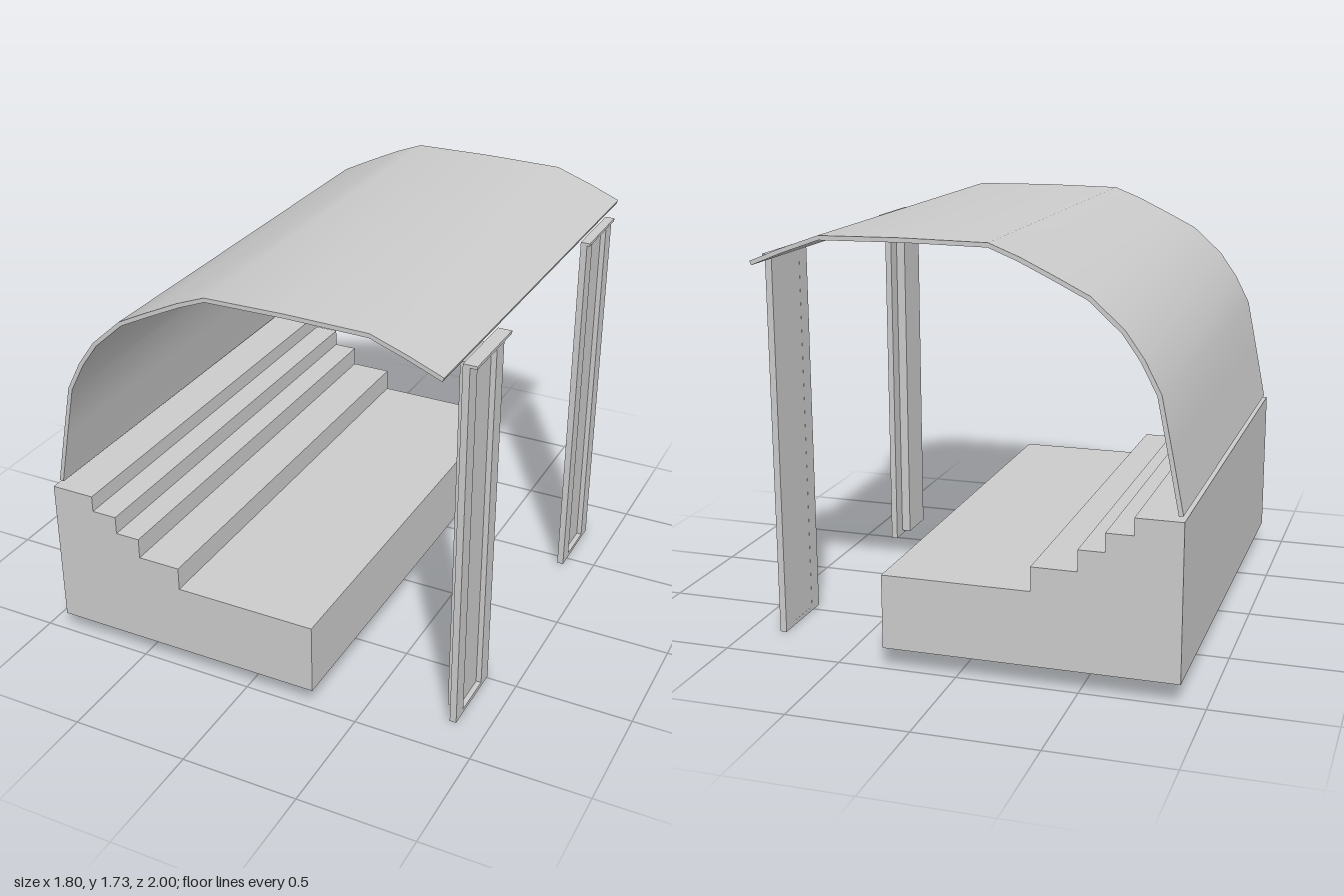
import * as THREE from 'three';
import { toCreasedNormals } from 'three/addons/utils/BufferGeometryUtils.js';

const grey = new THREE.MeshStandardMaterial({ color: 0xcccccc });

function addMesh(parent, name, geometry) {
  const mesh = new THREE.Mesh(geometry, grey);
  mesh.name = name;
  parent.add(mesh);
  return mesh;
}

// Box given by its minimum and maximum corners
function addBox(parent, name, [x0, y0, z0], [x1, y1, z1]) {
  const mesh = addMesh(parent, name, new THREE.BoxGeometry(x1 - x0, y1 - y0, z1 - z0));
  mesh.position.set((x0 + x1) / 2, (y0 + y1) / 2, (z0 + z1) / 2);
  return mesh;
}

// Outline in the x-y plane extruded from z0 to z1
function extrudeZ(points, z0, z1) {
  const shape = new THREE.Shape(points.map(([x, y]) => new THREE.Vector2(x, y)));
  return new THREE.ExtrudeGeometry(shape, { depth: z1 - z0, bevelEnabled: false }).translate(0, 0, z0);
}

// Rectangular frame facing +x, with an opening inset on every side
function frameGeometry(z0, z1, y1, x0, x1, sideInset, endInset) {
  const w = z1 - z0;
  const rect = (u0, v0, u1, v1) =>
    [[u0, v0], [u1, v0], [u1, v1], [u0, v1]].map(([u, v]) => new THREE.Vector2(u, v));
  const shape = new THREE.Shape(rect(0, 0, w, y1));
  shape.holes.push(new THREE.Path(rect(sideInset, endInset, w - sideInset, y1 - endInset)));
  return new THREE.ExtrudeGeometry(shape, { depth: x1 - x0, bevelEnabled: false })
    .rotateY(Math.PI / 2).translate(x0, 0, z1);
}

export function createModel() {
  const model = new THREE.Group();
  model.name = 'shelteredPlatform';

  // Stepped platform and its separate top step
  addMesh(model, 'steppedPlatform', extrudeZ([
    [-0.9, 0.087], [0.307, 0.087], [0.307, 0.395], [-0.307, 0.395], [-0.307, 0.495],
    [-0.493, 0.495], [-0.493, 0.583], [-0.6, 0.583], [-0.6, 0.66], [-0.9, 0.66],
  ], -1, 1));
  addBox(model, 'topStep', [-0.9, 0.66, -1], [-0.71, 0.73, 1]);

  // Curved roof: a line offset inward to a thin shell
  const outer = [
    [-0.891, 0.747], [-0.845, 0.98], [-0.8, 1.2], [-0.735, 1.325], [-0.66, 1.43], [-0.53, 1.547],
    [-0.4, 1.612], [-0.26, 1.679], [-0.14, 1.726], [0.2, 1.73], [0.54, 1.725], [0.7, 1.668], [0.83, 1.615],
  ].map(([x, y]) => new THREE.Vector2(x, y));
  const thickness = 0.018;
  const inner = outer.map((p, i) => {
    const along = outer[Math.min(i + 1, outer.length - 1)].clone().sub(outer[Math.max(i - 1, 0)]).normalize();
    return new THREE.Vector2(p.x + along.y * thickness, p.y - along.x * thickness);
  });
  const outline = [...outer, ...inner.reverse()].map((p) => [p.x, p.y]);
  addMesh(model, 'curvedRoof', toCreasedNormals(extrudeZ(outline, -0.98, 0.967), 0.6));

  // Two posts: framed face, recessed panel and a small cap
  const posts = [
    { name: 'frontPost', z0: 0.49, z1: 0.825, capX: 0.897 },
    { name: 'backPost', z0: -0.772, z1: -0.445, capX: 0.88 },
  ];
  for (const { name, z0, z1, capX } of posts) {
    const post = new THREE.Group();
    post.name = name;
    addMesh(post, 'postFrame', frameGeometry(z0, z1, 1.6, 0.84, 0.868, 0.072, 0.018));
    addBox(post, 'postCap', [0.84, 1.598, z0], [capX, 1.61, z1]);
    if (name === 'frontPost') {
      addBox(post, 'innerStrip', [0.8, 0.018, 0.563], [0.846, 1.58, 0.752]);
    } else {
      addBox(post, 'recessedPanel', [0.8405, 0.01, z0 + 0.06], [0.846, 1.59, z1 - 0.06]);
    }
    model.add(post);
  }
  return model;
}
